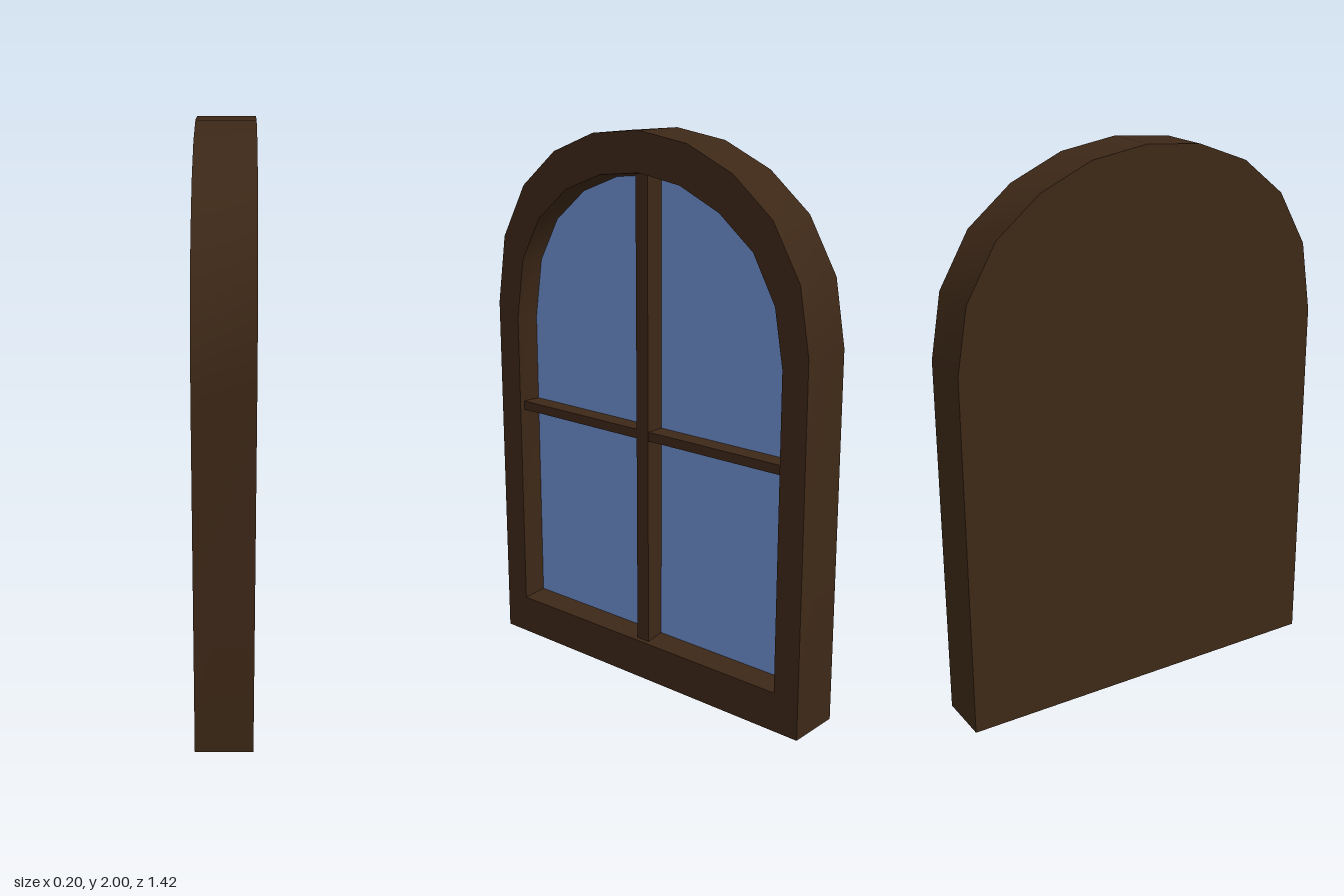
import * as THREE from 'three';
import { toCreasedNormals } from 'three/addons/utils/BufferGeometryUtils.js';

const wood = new THREE.MeshStandardMaterial({ color: 0x3d2817 });
const glass = new THREE.MeshStandardMaterial({ color: 0x6f8fd0 });

const FRONT = 0.1, BACK = -0.1, PANE = 0.013;

// Loops in the window plane, clockwise from the lower left corner
const outer = [
  [-0.71, 0], [-0.71, 1.33], [-0.67, 1.585], [-0.56, 1.78], [-0.4, 1.91], [-0.21, 1.982], [0, 2],
  [0.21, 1.967], [0.4, 1.882], [0.56, 1.75], [0.67, 1.56], [0.71, 1.33], [0.71, 0],
];
const inner = [
  [-0.61, 0.145], [-0.61, 1.28], [-0.575, 1.505], [-0.485, 1.665], [-0.345, 1.78], [-0.18, 1.842], [0, 1.86],
  [0.18, 1.83], [0.345, 1.755], [0.485, 1.642], [0.575, 1.48], [0.61, 1.28], [0.61, 0.145],
];
// The opening narrows slightly towards the pane
const paneLoop = inner.map(([u, y]) => [u * 0.985, 1 + (y - 1) * 0.985]);

const toPoints = (loop) => loop.map(([u, y]) => new THREE.Vector2(u, y));

function face(loop, depth, hole) {
  const shape = new THREE.Shape(toPoints(loop));
  if (hole) shape.holes.push(new THREE.Path(toPoints(hole)));
  return new THREE.ShapeGeometry(shape).translate(0, 0, depth);
}

// Strip of quads joining two matching loops at two depths
function band(a, depthA, b, depthB) {
  const pos = [];
  a.forEach((a0, i) => {
    const j = (i + 1) % a.length;
    const A0 = [...a0, depthA], A1 = [...a[j], depthA];
    const B0 = [...b[i], depthB], B1 = [...b[j], depthB];
    pos.push(...A0, ...B0, ...B1, ...A0, ...B1, ...A1);
  });
  const geo = new THREE.BufferGeometry();
  geo.setAttribute('position', new THREE.Float32BufferAttribute(pos, 3));
  geo.computeVertexNormals();
  return toCreasedNormals(geo, 0.6);
}

function bar(width, height, y, front) {
  const depth = front - PANE + 0.005;
  return new THREE.BoxGeometry(width, height, depth).translate(0, y, front - depth / 2);
}

export function createModel() {
  const model = new THREE.Group();
  model.name = 'archedWindow';
  const add = (name, geo, material = wood) => {
    const mesh = new THREE.Mesh(geo, material);
    mesh.name = name;
    model.add(mesh);
  };

  // Frame
  add('frameFront', face(outer, FRONT, inner));
  add('frameRim', band(outer, BACK, outer, FRONT));
  add('frameReveal', band(inner, FRONT, paneLoop, PANE));
  const mirrored = outer.map(([u, y]) => [-u, y]);
  add('backPanel', face(mirrored, -BACK).rotateY(Math.PI));

  // Pane and glazing bars
  add('glassPane', face(paneLoop, PANE), glass);
  add('verticalBar', bar(0.054, 1.72, 1.0, 0.085));
  add('horizontalBar', bar(1.225, 0.034, 0.938, 0.082));

  // The glazed side faces +x
  model.rotation.y = Math.PI / 2;
  const root = new THREE.Group();
  root.name = 'window';
  root.add(model);
  return root;
}
